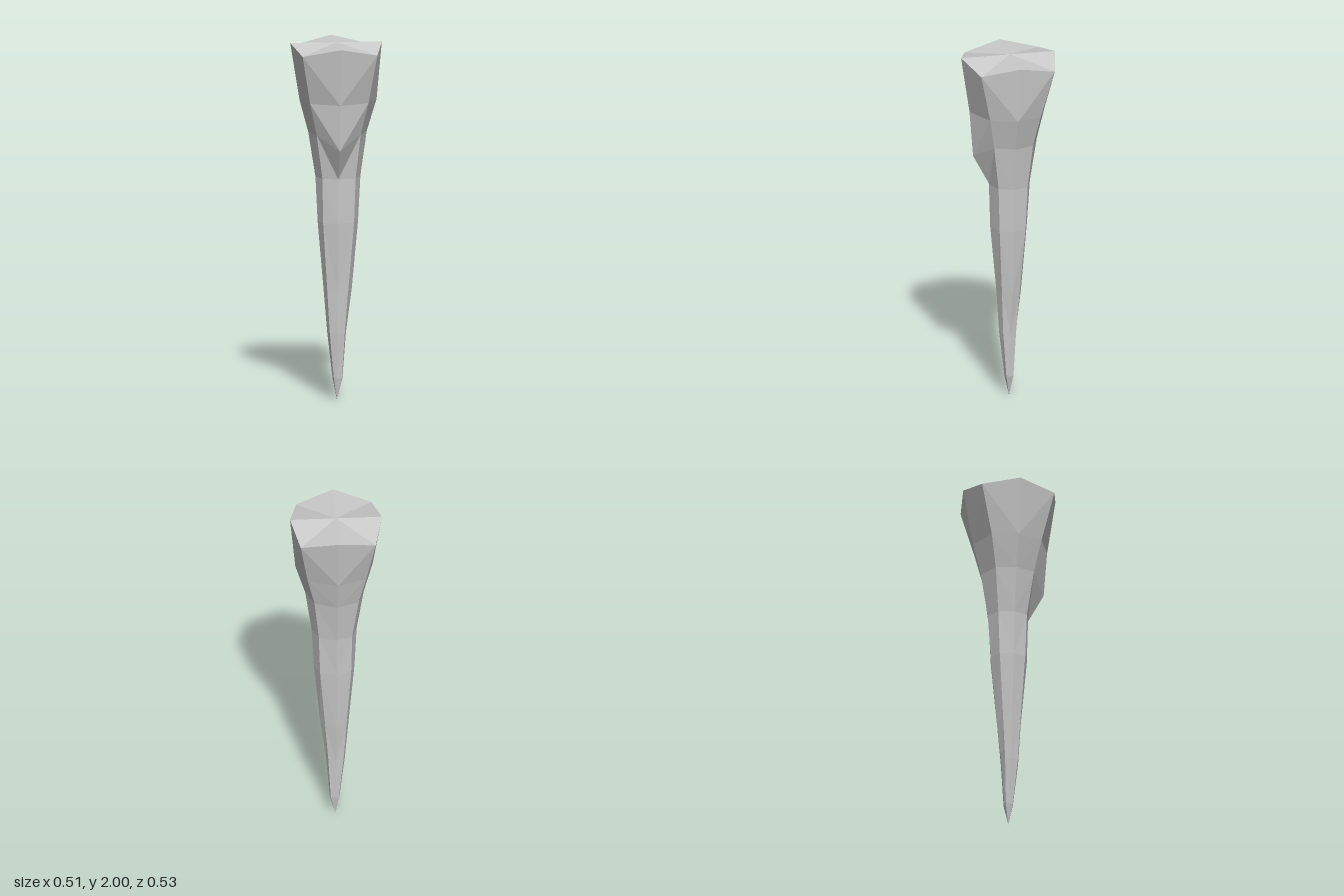
import * as THREE from 'three';

// Cross-sections from bottom to top:
// y, reach to +x, -x, +z, -z, then corner reach to +x, -x, +z, -z
const SECTIONS = [
  [0.12, 0.035, -0.02, 0.02, -0.03, 0.03, -0.015, 0.015, -0.025],
  [0.38, 0.055, -0.05, 0.05, -0.047, 0.044, -0.04, 0.036, -0.037],
  [0.62, 0.087, -0.07, 0.065, -0.075, 0.062, -0.055, 0.047, -0.053],
  [1.0, 0.122, -0.103, 0.1, -0.108, 0.092, -0.08, 0.067, -0.08],
  [1.25, 0.135, -0.115, 0.107, -0.125, 0.1, -0.085, 0.075, -0.09],
  [1.5, 0.17, -0.155, 0.197, -0.165, 0.125, -0.12, 0.105, -0.115],
  [1.68, 0.225, -0.203, 0.217, -0.21, 0.165, -0.16, 0.137, -0.15],
  [2.0, 0.255, -0.255, 0.265, -0.267, 0.208, -0.208, 0.197, -0.22],
];
const BUMP = 5, TOP = 7;

// Eight points around a section, running from +x towards +z
function ring([y, px, nx, pz, nz, cx, dx, cz, dz], index) {
  const cornerY = index === TOP ? 1.955 : y; // notched rim
  const frontY = index === BUMP ? 1.42 : y; // sagging front ridge
  const mid = index === TOP ? -0.012 : -0.006;
  return [
    [px, y, mid], [cx, cornerY, cz], [0, frontY, pz], [dx, cornerY, cz],
    [nx, y, mid], [dx, cornerY, dz], [0, y, nz], [cx, cornerY, dz],
  ];
}

function facetedMesh(name, triangles) {
  const geometry = new THREE.BufferGeometry();
  geometry.setAttribute('position', new THREE.Float32BufferAttribute(triangles.flat(2), 3));
  geometry.computeVertexNormals();
  const mesh = new THREE.Mesh(geometry, new THREE.MeshStandardMaterial({ color: 0xcccccc, flatShading: true }));
  mesh.name = name;
  return mesh;
}

export function createModel() {
  const group = new THREE.Group();
  group.name = 'spike';
  const rings = SECTIONS.map(ring);
  const tip = [0.004, 0, -0.006];
  const point = [], shaft = [], cap = [];

  for (let i = 0; i < 8; i++) {
    const j = (i + 1) % 8;
    // Sharp end
    point.push([tip, rings[0][i], rings[0][j]]);
    // Tapering side facets
    for (let k = 0; k < TOP; k++) {
      const lower = rings[k], upper = rings[k + 1];
      // Diagonals mirror about each ridge
      if (i % 2) {
        shaft.push([lower[i], upper[i], lower[j]], [lower[j], upper[i], upper[j]]);
      } else {
        shaft.push([lower[i], upper[i], upper[j]], [lower[i], upper[j], lower[j]]);
      }
    }
    // Top fan dipping towards the corners
    cap.push([[0, 2, -0.012], rings[TOP][j], rings[TOP][i]]);
  }

  group.add(facetedMesh('point', point), facetedMesh('shaft', shaft), facetedMesh('topCap', cap));
  return group;
}
